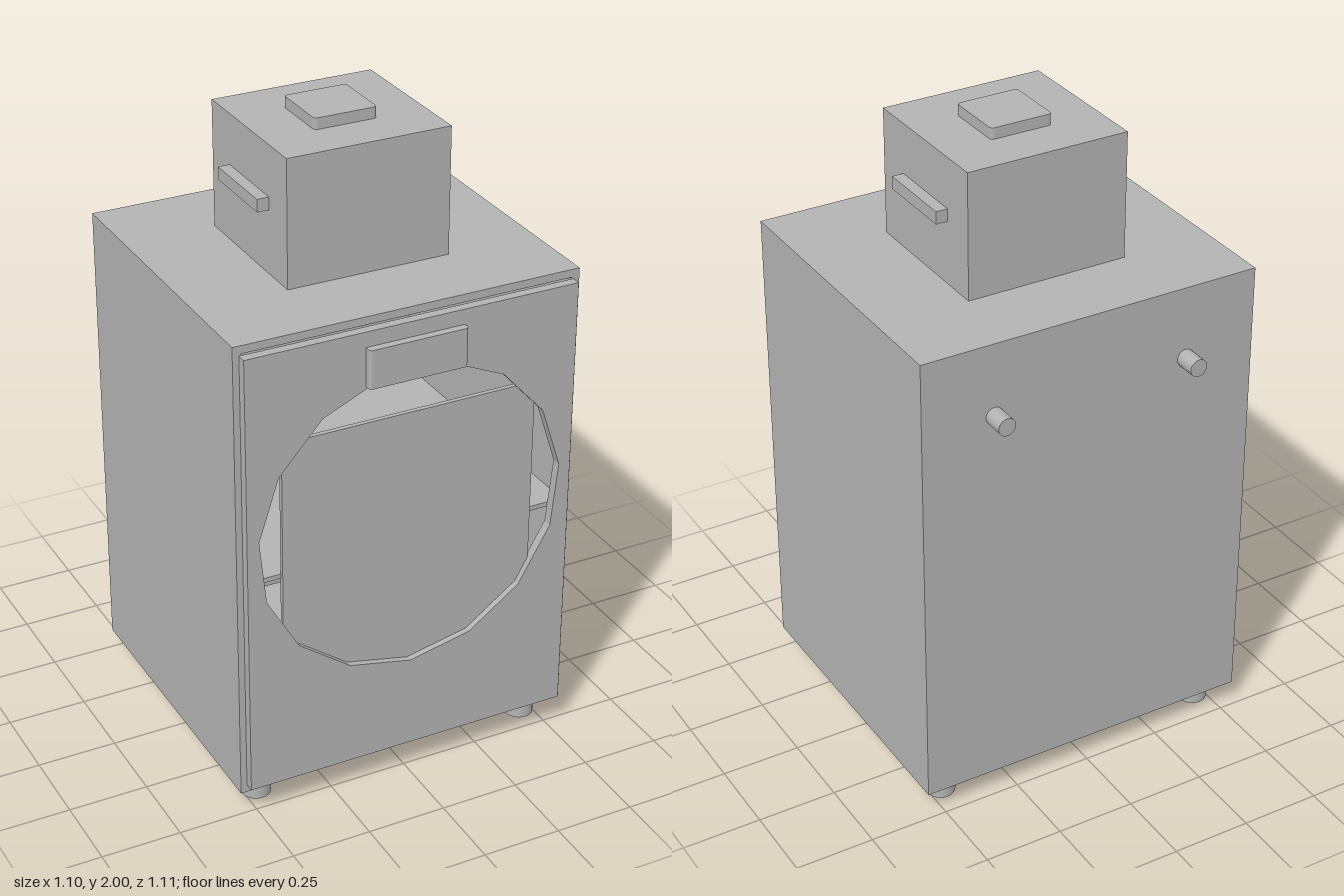
import * as THREE from 'three';

export function createModel() {
  const model = new THREE.Group();
  model.name = 'cabinetWithHopper';
  const grey = new THREE.MeshStandardMaterial({ color: 0xb3b3b3 });
  grey.name = 'grey metal';

  const add = (name, geometry) => {
    const mesh = new THREE.Mesh(geometry, grey);
    mesh.name = name;
    model.add(mesh);
    return mesh;
  };
  // Box given by its limits on each axis
  const box = (name, x0, x1, y0, y1, z0, z1) =>
    add(name, new THREE.BoxGeometry(x1 - x0, y1 - y0, z1 - z0))
      .position.set((x0 + x1) / 2, (y0 + y1) / 2, (z0 + z1) / 2);
  // Upright slab whose plan has rounded corners (rb at the back, rf at the front)
  const slab = (name, w, y0, y1, z0, z1, rb, rf) => {
    const s = new THREE.Shape();
    const x = w / 2, b = -z0, f = -z1; // shape y becomes -z
    s.moveTo(-x + rf, f);
    s.lineTo(x - rf, f);
    s.quadraticCurveTo(x, f, x, f + rf);
    s.lineTo(x, b - rb);
    s.quadraticCurveTo(x, b, x - rb, b);
    s.lineTo(-x + rb, b);
    s.quadraticCurveTo(-x, b, -x, b - rb);
    s.lineTo(-x, f + rf);
    s.quadraticCurveTo(-x, f, -x + rf, f);
    const g = new THREE.ExtrudeGeometry(s, { depth: y1 - y0, bevelEnabled: false, curveSegments: 5 });
    g.rotateX(-Math.PI / 2);
    add(name, g).position.y = y0;
  };

  // Hollow cabinet, open at the front: outer frame plus back wall
  const rect = (C, x, y0, y1) => {
    const p = new C();
    p.moveTo(-x, y0);
    p.lineTo(x, y0);
    p.lineTo(x, y1);
    p.lineTo(-x, y1);
    p.closePath();
    return p;
  };
  const frame = rect(THREE.Shape, 0.55, 0.075, 1.565);
  frame.holes.push(rect(THREE.Path, 0.525, 0.1, 1.54));
  add('cabinetShell', new THREE.ExtrudeGeometry(frame, { depth: 0.985, bevelEnabled: false }))
    .position.z = -0.485;
  box('backWall', -0.525, 0.525, 0.1, 1.54, -0.485, -0.46);
  box('shelf', -0.525, 0.525, 0.79, 0.805, -0.46, 0.5);

  // Front panel with a fifteen-sided opening
  const panel = rect(THREE.Shape, 0.53, 0.1, 1.535);
  const opening = Array.from({ length: 15 }, (_, i) => {
    const a = -Math.PI / 2 + (i * Math.PI * 2) / 15;
    return new THREE.Vector2(0.495 * Math.cos(a), 0.895 + 0.495 * Math.sin(a));
  });
  panel.holes.push(new THREE.Path(opening));
  add('frontPanel', new THREE.ExtrudeGeometry(panel, { depth: 0.03, bevelEnabled: false }))
    .position.z = 0.5;

  // Plate set inside the opening
  box('innerPlate', -0.41, 0.41, 0.36, 1.235, 0.495, 0.51);
  slab('doorHandle', 0.314, 1.365, 1.487, 0.53, 0.555, 0.001, 0.01);

  // Hopper on top with its cap and side grips
  box('hopper', -0.26, 0.26, 1.565, 1.965, -0.24, 0.25);
  slab('hopperCap', 0.2, 1.965, 2, -0.093, 0.103, 0.014, 0.014);

  for (const [side, s] of [['left', 1], ['right', -1]]) {
    const inner = s * 0.26, outer = s * 0.297;
    box(side + 'HopperGrip', Math.min(inner, outer), Math.max(inner, outer), 1.765, 1.805, -0.125, 0.135);

    // Rear pipe stub
    const pipe = add(side + 'RearPipe', new THREE.CylinderGeometry(0.028, 0.028, 0.07, 24));
    pipe.rotation.x = Math.PI / 2;
    pipe.position.set(s * 0.318, 1.334, -0.52);

    // Feet
    for (const [end, z] of [['Front', 0.413], ['Back', -0.395]]) {
      add(side + end + 'Foot', new THREE.CylinderGeometry(0.045, 0.045, 0.075, 24))
        .position.set(s * 0.46, 0.0375, z);
    }
  }
  return model;
}
